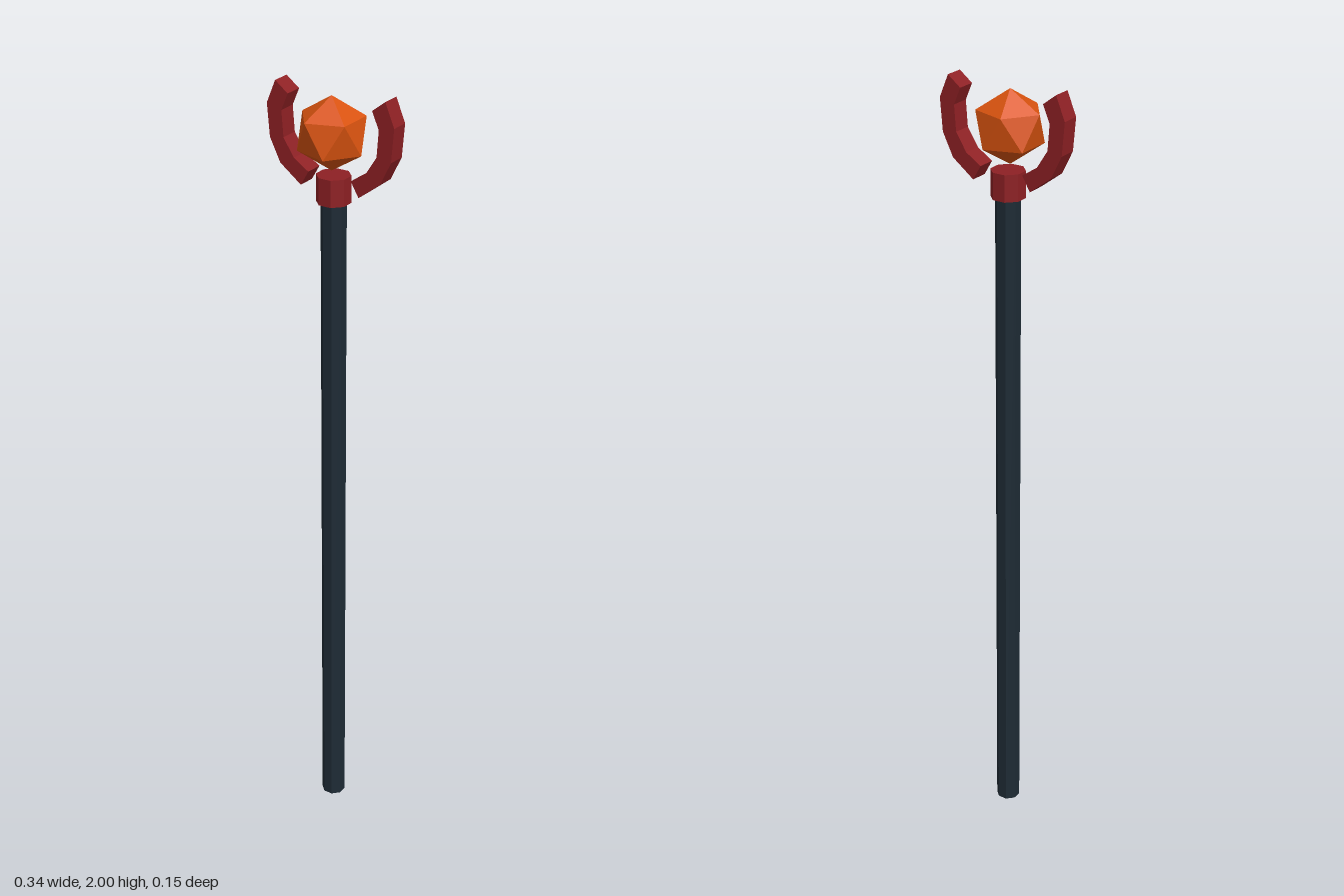
import * as THREE from 'three';

const mat = (name, color) => {
  const m = new THREE.MeshStandardMaterial({ color, flatShading: true });
  m.name = name;
  return m;
};

export function createModel() {
  const shaftMat = mat('dark slate', 0x1e2b35);
  const redMat = mat('deep red', 0x8e2024);
  const orbMat = mat('ember orange', 0xd9530f);

  const staff = new THREE.Group();
  staff.name = 'staff';
  const add = (name, geometry, material, x, y, z) => {
    const mesh = new THREE.Mesh(geometry, material);
    mesh.name = name;
    mesh.position.set(x, y, z);
    staff.add(mesh);
  };

  // Eight-sided rod with a flat side towards the front
  const rod = (radius, height) =>
    new THREE.CylinderGeometry(radius, radius, height, 8).rotateY(Math.PI / 8);

  // Pole and the collar that caps it
  add('shaft', rod(0.031, 1.74), shaftMat, -0.003, 0.87, -0.007);
  add('collar', rod(0.042, 0.066), redMat, -0.003, 1.762, -0.007);

  // Floating faceted orb, turned so one corner points straight up
  const orb = new THREE.IcosahedronGeometry(0.089, 0);
  orb.rotateZ(Math.atan(2 / (1 + Math.sqrt(5))));
  add('orb', orb, orbMat, -0.004, 1.896, 0);

  // Curved prongs: outer edge from tip to foot, then inner edge back up
  const outline = [
    [0.147, 2.0], [0.171, 1.943], [0.164, 1.862], [0.136, 1.805], [0.079, 1.762],
    [0.058, 1.798], [0.098, 1.824], [0.126, 1.868], [0.131, 1.932], [0.113, 1.974],
  ];
  for (const [name, side] of [['leftProng', 1], ['rightProng', -1]]) {
    const shape = new THREE.Shape(outline.map(([x, y]) => new THREE.Vector2(side * x, y)));
    const prong = new THREE.ExtrudeGeometry(shape, { depth: 0.047, bevelEnabled: false });
    add(name, prong, redMat, 0, 0, -0.031);
  }

  return staff;
}
